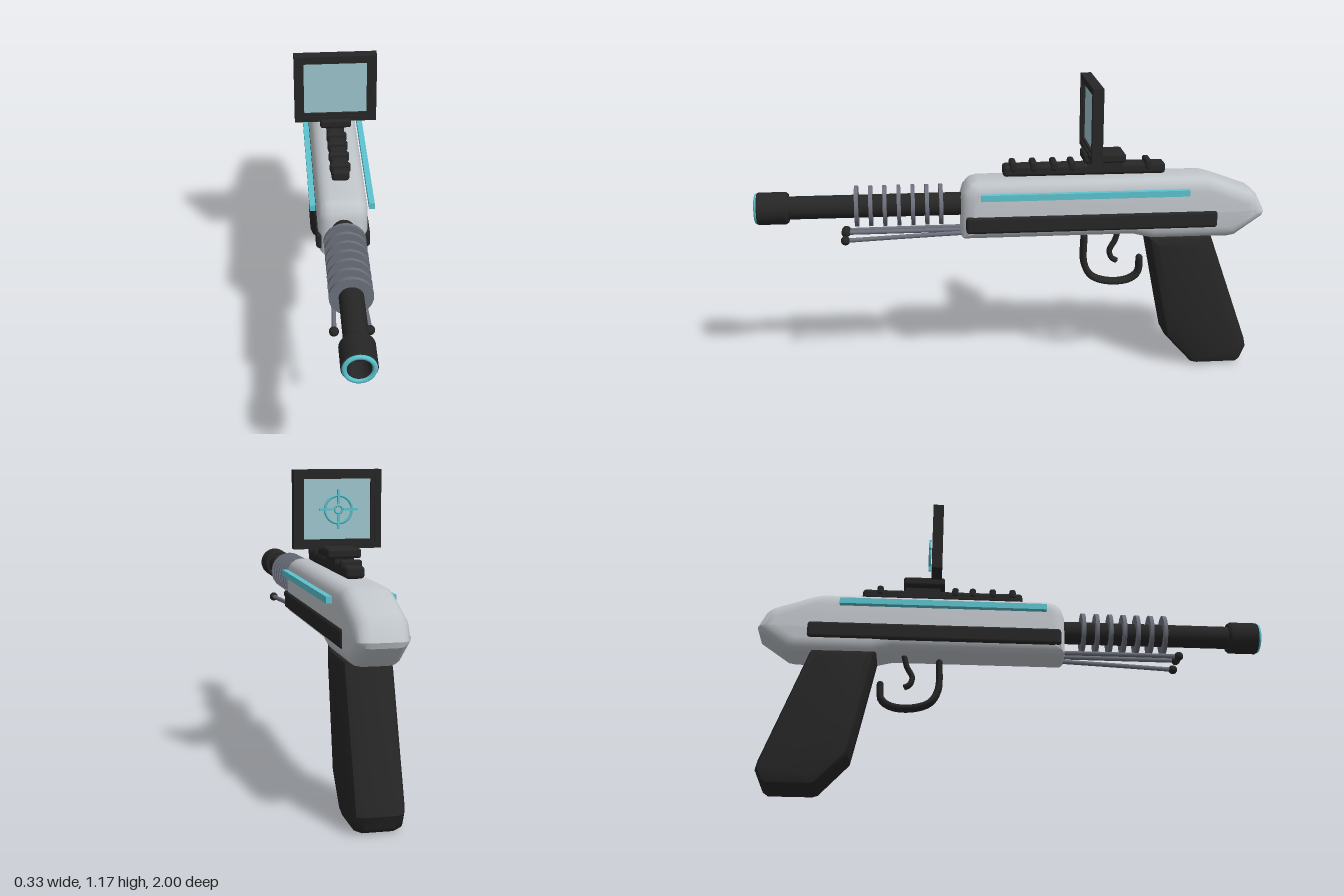
import * as THREE from 'three';
import { mergeVertices, toCreasedNormals } from 'three/addons/utils/BufferGeometryUtils.js';
import { RoundedBoxGeometry } from 'three/addons/geometries/RoundedBoxGeometry.js';

const paint = (name, color, side = THREE.FrontSide) => {
  const m = new THREE.MeshStandardMaterial({ color, side });
  m.name = name;
  return m;
};

export function createModel() {
  const silver = paint('silver shell', 0xc0c5ca);
  const black = paint('black', 0x262626, THREE.DoubleSide);
  const steel = paint('steel grey', 0x6c707c);
  const cyan = paint('cyan glow', 0x5cc3cf);
  const glass = paint('pale glass', 0x9dc6cd);

  const model = new THREE.Group();
  model.name = 'blaster';
  const add = (name, geometry, material, x = 0, y = 0, z = 0, parent = model) => {
    const mesh = new THREE.Mesh(geometry, material);
    mesh.name = name;
    mesh.position.set(x, y, z);
    parent.add(mesh);
    return mesh;
  };
  const box = (w, h, d) => new THREE.BoxGeometry(w, h, d);
  const rounded = (w, h, d, r) => new RoundedBoxGeometry(w, h, d, 2, r);
  const disc = (r, length) => new THREE.CylinderGeometry(r, r, length, 32).rotateX(Math.PI / 2);

  // Side outline given as [z, y], extruded across x with bevelled sides
  const slab = (points, halfWidth, bevel, segments, crease) => {
    const shape = new THREE.Shape(points.map(([z, y]) => new THREE.Vector2(z, y)));
    const depth = 2 * (halfWidth - bevel);
    const g = new THREE.ExtrudeGeometry(shape, {
      depth, bevelEnabled: true, bevelThickness: bevel, bevelSize: bevel,
      bevelOffset: -bevel, bevelSegments: segments, steps: 1,
    });
    g.translate(0, 0, -depth / 2).rotateY(-Math.PI / 2);
    g.deleteAttribute('uv');
    g.deleteAttribute('normal');
    return toCreasedNormals(mergeVertices(g, 1e-4), crease);
  };
  const tube = (points, r) => new THREE.TubeGeometry(
    new THREE.CatmullRomCurve3(points.map(p => new THREE.Vector3(...p))), 32, r, 10);

  // Main shell and grip
  add('body', slab([
    [0.205, 0.575], [0.205, 0.73], [0.195, 0.765], [0.17, 0.792], [0.14, 0.8], [-0.75, 0.8],
    [-0.79, 0.79], [-0.94, 0.735], [-0.965, 0.715], [-0.997, 0.65], [-0.99, 0.63], [-0.88, 0.552],
    [-0.85, 0.547], [-0.55, 0.547], [-0.47, 0.567], [0.195, 0.567],
  ], 0.095, 0.05, 4, 0.6), silver);
  add('grip', slab([
    [-0.53, 0.56], [-0.59, 0.26], [-0.617, 0.13], [-0.73, 0.006], [-0.75, 0],
    [-0.915, 0], [-0.935, 0.015], [-0.957, 0.065], [-0.95, 0.1], [-0.785, 0.56],
  ], 0.092, 0.038, 2, 0.5), black);

  // Side panels and glowing strips
  for (const s of [1, -1]) {
    add('sidePanel', rounded(0.03, 0.068, 0.99, 0.013), black, s * 0.089, 0.631, -0.307);
    add('sideStrip', box(0.022, 0.024, 0.81), cyan, s * 0.113, 0.747, -0.276);
  }

  // Barrel, cooling rings and hollow muzzle
  const axisY = 0.695;
  add('barrel', disc(0.045, 0.78), black, 0, axisY, 0.53);
  for (let i = 0; i < 7; i++)
    add('coolingRing', disc(0.08, 0.015), steel, 0, axisY, 0.282 + i * 0.0545);
  const muzzle = [[0.03, 0.87], [0.056, 0.87], [0.063, 0.88], [0.063, 0.985], [0.058, 0.992],
    [0.04, 0.992], [0.034, 0.92], [0, 0.92]].map(([r, z]) => new THREE.Vector2(r, z));
  add('muzzle', toCreasedNormals(new THREE.LatheGeometry(muzzle, 32).rotateX(Math.PI / 2), 0.6),
    black, 0, axisY, 0);
  add('muzzleRing', new THREE.TorusGeometry(0.051, 0.009, 8, 32), cyan, 0, axisY, 0.991);

  // Three splayed prongs with ball tips
  for (const s of [-1, 0, 1]) {
    const tip = [s * 0.064, s ? 0.576 : 0.587, 0.655];
    add('prong', tube([[s * 0.04, 0.587, 0.18], [s * 0.052, s ? 0.582 : 0.587, 0.42], tip], 0.009), steel);
    add('prongTip', new THREE.SphereGeometry(0.018, 16, 12), black, ...tip);
  }

  // Trigger and its guard, widened across x
  const guard = [[0, 0.545, -0.287], [0, 0.43, -0.289], [0, 0.375, -0.32], [0, 0.35, -0.39],
    [0, 0.356, -0.47], [0, 0.385, -0.508], [0, 0.445, -0.514]];
  add('triggerGuard', tube(guard, 0.014), black).scale.x = 1.9;
  for (const p of [guard[0], guard[guard.length - 1]])
    add('guardEnd', new THREE.SphereGeometry(0.014, 12, 8), black, ...p).scale.x = 1.9;
  add('trigger', tube([[0, 0.57, -0.425], [0, 0.525, -0.413], [0, 0.48, -0.391], [0, 0.45, -0.4],
    [0, 0.437, -0.42]], 0.011), black).scale.x = 1.6;

  // Sight rail with ridges and mounting base
  add('rail', rounded(0.07, 0.045, 0.64, 0.014), black, 0, 0.827, -0.28);
  for (const z of [0, -0.08, -0.16, -0.23, -0.53])
    add('railRidge', rounded(0.08, 0.04, 0.026, 0.01), black, 0, 0.845, z);
  add('sightNeck', box(0.07, 0.05, 0.14), black, 0, 0.845, -0.36);
  add('sightBase', rounded(0.125, 0.036, 0.165, 0.01), black, 0, 0.877, -0.355);

  // Sight screen
  const sight = new THREE.Group();
  sight.name = 'sight';
  sight.position.set(0, 1.029, -0.307);
  model.add(sight);
  const rect = (Type, w, h) => new Type([[-w, -h], [w, -h], [w, h], [-w, h]]
    .map(([x, y]) => new THREE.Vector2(x, y)));
  const frame = (w, h, iw, ih, depth) => {
    const shape = rect(THREE.Shape, w, h);
    shape.holes.push(rect(THREE.Path, iw, ih));
    return new THREE.ExtrudeGeometry(shape, { depth, bevelEnabled: false }).translate(0, 0, -depth / 2);
  };
  add('screenFrame', frame(0.158, 0.14, 0.125, 0.11, 0.03), black, 0, 0, 0, sight);
  add('screenRim', frame(0.163, 0.144, 0.14, 0.122, 0.042), black, 0, 0, 0, sight);
  add('screenGlass', box(0.25, 0.22, 0.012), glass, 0, 0, 0, sight);

  // Crosshair standing behind the glass
  const backZ = -0.03;
  add('crosshairRing', new THREE.TorusGeometry(0.05, 0.005, 8, 32), cyan, 0, 0, backZ, sight);
  add('crosshairDot', new THREE.TorusGeometry(0.014, 0.004, 8, 20), cyan, 0, 0, backZ, sight);
  for (let i = 0; i < 4; i++) {
    const a = i * Math.PI / 2;
    const bar = add('crosshairBar', box(0.054, 0.008, 0.01), cyan,
      Math.cos(a) * 0.045, Math.sin(a) * 0.045, backZ, sight);
    bar.rotation.z = a;
  }
  return model;
}
